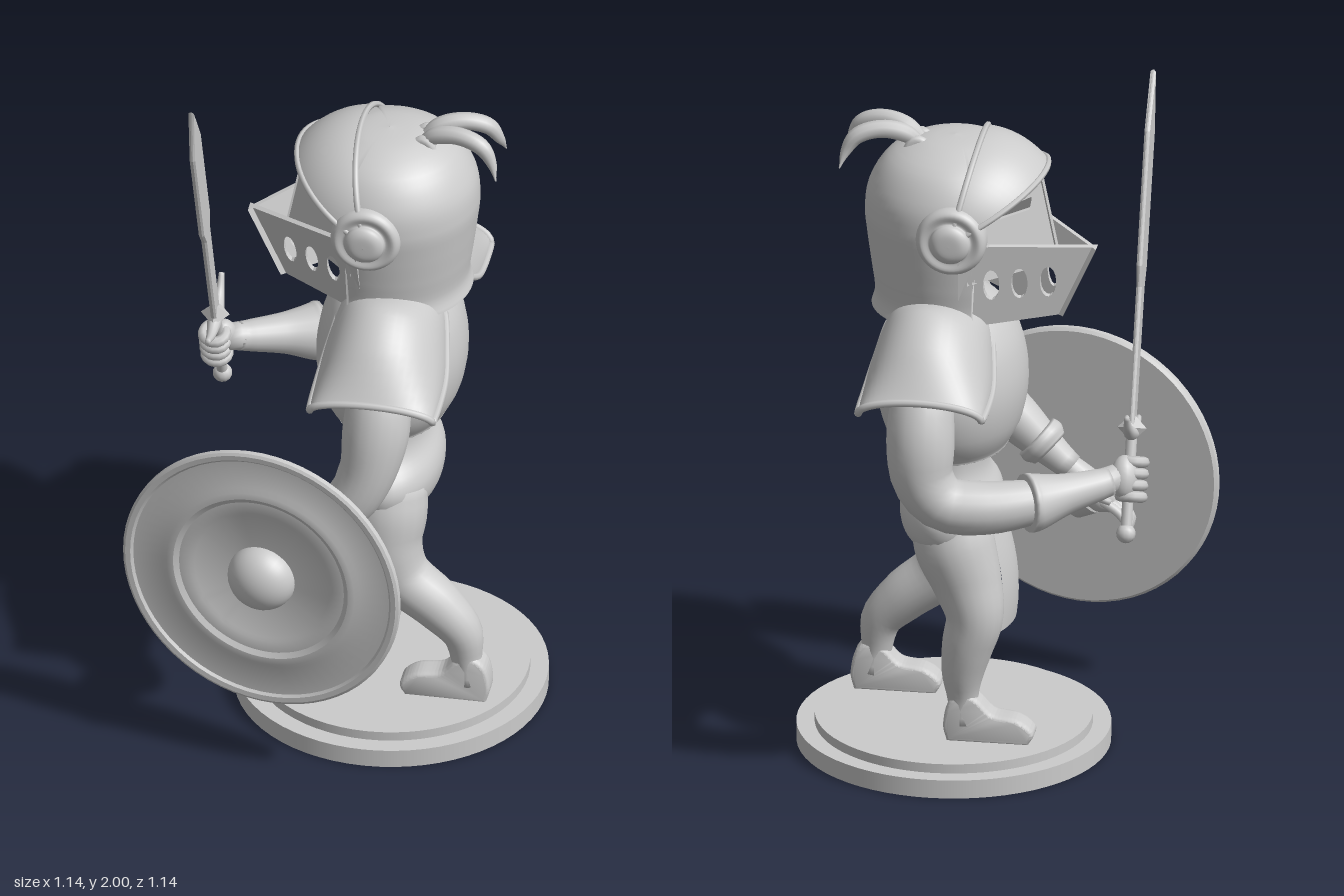
import * as THREE from 'three';
import { toCreasedNormals } from 'three/addons/utils/BufferGeometryUtils.js';
import { ParametricGeometry } from 'three/addons/geometries/ParametricGeometry.js';

const solid = new THREE.MeshStandardMaterial({ color: 0xcccccc });
const thin = new THREE.MeshStandardMaterial({ color: 0xcccccc, side: THREE.DoubleSide });
const V2 = (p) => new THREE.Vector2(p[0], p[1]);
const V3 = (p) => new THREE.Vector3(p[0], p[1], p[2]);
const MID = -0.05; // z of the body's middle plane

function add(parent, name, geo, pos = [0, 0, 0], mat = solid) {
  const mesh = new THREE.Mesh(geo, mat);
  mesh.name = name;
  mesh.position.set(...pos);
  parent.add(mesh);
  return mesh;
}

// Round tapered tube through [x, y, z, radius] points, with closed ends
function limb(pts, sides = 20, rings = 28) {
  const curve = new THREE.CatmullRomCurve3(pts.map(V3));
  const radii = new THREE.SplineCurve(pts.map((p, i) => new THREE.Vector2(i, p[3])));
  const { normals, binormals } = curve.computeFrenetFrames(rings);
  const pos = [], idx = [];
  const ring = (i, k) => {
    const u = i / rings, c = curve.getPointAt(u);
    const r = radii.getPoint(curve.getUtoTmapping(u)).y * k;
    for (let j = 0; j < sides; j++) {
      const a = (j / sides) * Math.PI * 2;
      const p = c.clone().addScaledVector(normals[i], Math.cos(a) * r).addScaledVector(binormals[i], Math.sin(a) * r);
      pos.push(p.x, p.y, p.z);
    }
  };
  ring(0, 0.001);
  for (let i = 0; i <= rings; i++) ring(i, 1);
  ring(rings, 0.001);
  for (let i = 0; i < rings + 2; i++) for (let j = 0; j < sides; j++) {
    const a = i * sides + j, b = i * sides + (j + 1) % sides;
    idx.push(a, b, a + sides, b, b + sides, a + sides);
  }
  const g = new THREE.BufferGeometry();
  g.setAttribute('position', new THREE.Float32BufferAttribute(pos, 3));
  g.setIndex(idx);
  g.computeVertexNormals();
  return g;
}

const lathe = (pts, seg = 48) => new THREE.LatheGeometry(pts.map(V2), seg);
const smoothLathe = (pts) => new THREE.LatheGeometry(new THREE.SplineCurve(pts.map(V2)).getPoints(28), 40);

// Flat panel drawn from the side, sheared into one half of a pointed face plate
function facePanel(outline, holes, tipX, k) {
  const shape = new THREE.Shape(outline.map(V2));
  shape.holes = holes;
  const g = new THREE.ExtrudeGeometry(shape, { depth: 0.02, bevelEnabled: false, curveSegments: 8 });
  const p = g.attributes.position;
  for (let i = 0; i < p.count; i++) p.setZ(i, p.getZ(i) - 0.02 + (p.getX(i) - tipX(p.getY(i))) * k);
  g.computeVertexNormals();
  return g;
}

function slot(x, y, rx, ry) {
  const path = new THREE.Path();
  path.absellipse(x, y, rx, ry, 0, Math.PI * 2, true);
  return path;
}

function buildHelmet() {
  const g = new THREE.Group();
  g.name = 'helmet';
  g.position.z = MID;
  const profile = new THREE.SplineCurve([[0.238, 1.355], [0.228, 1.4], [0.238, 1.48], [0.25, 1.57], [0.257, 1.65],
    [0.243, 1.73], [0.19, 1.81], [0.1, 1.856], [0.001, 1.868]].map(V2));
  // Shell is full height at the back and a cap above the face opening
  add(g, 'helmetShell', new ParametricGeometry((u, v, t) => {
    const a = (u * 2 - 1) * Math.PI, low = Math.abs(a) < 1.95 ? 0 : 0.65;
    const p = profile.getPoint(low + (1 - low) * v);
    t.set(0.11 + p.x * Math.cos(a), p.y, p.x * Math.sin(a));
  }, 72, 28), [0, 0, 0], thin);
  const browAt = (a, v) => {
    const R = 0.243 + 0.034 * v, th = 1.8 + 0.8 * v;
    return [0.085 + R * Math.cos(th) * Math.cos(a), 1.64 + R * Math.sin(th) * Math.cos(a), 0.268 * Math.sin(a)];
  };
  add(g, 'brow', new ParametricGeometry((u, v, t) => t.set(...browAt((u * 2 - 1) * 1.45, v)), 32, 10), [0, 0, 0], thin);
  for (const v of [0, 1]) {
    const pts = Array.from({ length: 13 }, (_, i) => [...browAt((i / 6 - 1) * 1.4, v), 0.009]);
    add(g, 'browRim', limb(pts, 6, 32));
  }
  const visor = facePanel([[-0.295, 1.545], [-0.2, 1.335], [0.07, 1.355], [0.06, 1.62], [-0.02, 1.62]],
    [[-0.165, 1.458], [-0.092, 1.472], [-0.02, 1.485]].map(([x, y]) => slot(x, y, 0.021, 0.052)),
    (y) => -0.295 - (y - 1.545) * 0.452, 0.72);
  const face = facePanel([[-0.19, 1.5], [0.04, 1.5], [0.04, 1.7], [-0.06, 1.77], [-0.135, 1.77]],
    [new THREE.Path([[-0.115, 1.705], [-0.035, 1.69], [-0.035, 1.665], [-0.11, 1.67]].map(V2))],
    (y) => -0.14 - (1.77 - y) * 0.2, 1);
  const ear = smoothLathe([[0.1, -0.04], [0.1, 0], [0.085, 0.018], [0.06, 0.014], [0.055, 0.03], [0.035, 0.042], [0.001, 0.044]]);
  ear.rotateX(Math.PI / 2);
  for (const s of [1, -1]) {
    const half = new THREE.Group();
    half.name = 'helmetSide';
    half.scale.z = s;
    g.add(half);
    add(half, 'visor', visor, [0, 0, 0], thin);
    add(half, 'facePlate', face, [0, 0, 0], thin);
    add(half, 'earDisc', ear, [0.085, 1.64, 0.25]);
    // Curled crest horns
    add(half, 'crest', limb([[0.2, 1.83, 0.015, 0.016], [0.25, 1.87, 0.025, 0.026], [0.32, 1.885, 0.04, 0.026],
      [0.385, 1.865, 0.055, 0.024], [0.415, 1.82, 0.065, 0.015], [0.43, 1.775, 0.085, 0.002]], 10));
    add(half, 'crestClip', limb([[0.18, 1.84, 0.03, 0.012], [0.22, 1.855, 0.035, 0.016], [0.25, 1.815, 0.045, 0.012]], 8, 8));
  }
  return g;
}

function buildPauldron(s) {
  const g = new THREE.Group();
  g.name = s > 0 ? 'leftShoulderGuard' : 'rightShoulderGuard';
  g.position.set(0.14, 0, MID);
  g.scale.z = s;
  const crest = new THREE.SplineCurve([[0.22, 1.435], [0.3, 1.435], [0.4, 1.365], [0.49, 1.24]].map(V2));
  const corner = new THREE.SplineCurve([[0.1, 1.32], [0.19, 1.25], [0.29, 1.2], [0.46, 1.185]].map(V2));
  const at = (a, v) => {
    const c = crest.getPoint(v), d = corner.getPoint(v), k = 1 - Math.cos(a);
    return [Math.sin(a) * (0.145 + 0.035 * Math.sin(v * 2)), c.y + (d.y - c.y) * k, c.x + (d.x - c.x) * k];
  };
  add(g, 'plate', new ParametricGeometry((u, v, t) => t.set(...at((u - 0.5) * Math.PI, v)), 24, 14), [0, 0, 0], thin);
  const arc = (f) => Array.from({ length: 13 }, (_, i) => [...f(i / 12), 0.011]);
  add(g, 'rim', limb(arc((t) => at((t - 0.5) * Math.PI, 1)), 8));
  for (const e of [-1, 1]) add(g, 'sideRim', limb(arc((t) => at(e * Math.PI / 2, t)), 8));
  return g;
}

function buildSword() {
  const g = new THREE.Group();
  g.name = 'sword';
  g.position.set(-0.42, 0.785, -0.315);
  g.rotation.x = 0.386;
  const half = [[0.024, 0.3], [0.027, 0.7], [0.046, 0.76], [0.047, 1.14]];
  const outline = [...half, [0, 1.31], ...half.slice().reverse().map(([w, y]) => [-w, y])];
  const blade = new THREE.ExtrudeGeometry(new THREE.Shape(outline.map(V2)),
    { depth: 0.004, bevelSize: 0.004, bevelThickness: 0.006, bevelSegments: 1 });
  blade.translate(0, 0, -0.002).rotateY(Math.PI / 2);
  add(g, 'blade', blade);
  add(g, 'grip', new THREE.CylinderGeometry(0.016, 0.016, 0.28, 12), [0, 0.15, 0]);
  add(g, 'pommel', new THREE.SphereGeometry(0.028, 12, 8));
  add(g, 'guard', limb([[0, 0.33, -0.12, 0.008], [0, 0.295, -0.07, 0.014], [0, 0.285, 0, 0.022],
    [0, 0.295, 0.07, 0.014], [0, 0.33, 0.12, 0.008]], 10));
  add(g, 'guardBlock', new THREE.OctahedronGeometry(0.042), [0, 0.3, 0]);
  // Fist closed around the grip
  add(g, 'palm', new THREE.SphereGeometry(0.05, 16, 12), [0.012, 0.16, -0.02]).scale.set(0.8, 1.25, 0.8);
  for (let i = 0; i < 4; i++) {
    add(g, 'finger', new THREE.TorusGeometry(0.032, 0.016, 8, 16).rotateX(Math.PI / 2), [-0.008, 0.105 + i * 0.033, 0.004]);
  }
  return g;
}

function buildShield() {
  const g = new THREE.Group();
  g.name = 'shield';
  g.position.set(-0.16, 0.65, 0.483);
  g.rotation.y = -0.187;
  const disc = lathe([[0, -0.014], [0.41, -0.014], [0.418, -0.006], [0.418, 0.01], [0.41, 0.015], [0.395, 0.014], [0.388, 0.007],
    [0.3, 0.007], [0.285, 0.014], [0.265, 0.014], [0.25, 0.005], [0.215, 0.005], [0.205, 0], [0, 0.004]], 64);
  add(g, 'disc', toCreasedNormals(disc.rotateX(Math.PI / 2), 0.5));
  add(g, 'boss', new THREE.SphereGeometry(0.1, 32, 16, 0, Math.PI * 2, 0, Math.PI / 2).rotateX(Math.PI / 2)).scale.z = 0.82;
  // Arm strap on the back
  add(g, 'strap', new THREE.CylinderGeometry(0.075, 0.065, 0.06, 24, 1, true).rotateZ(1), [-0.03, -0.05, -0.085], thin);
  return g;
}

export function createModel() {
  const model = new THREE.Group();
  model.name = 'knight';

  // Stepped round base
  add(model, 'base', new THREE.CylinderGeometry(0.446, 0.446, 0.055, 64), [0.12, 0.0275, -0.02]);
  add(model, 'baseStep', new THREE.CylinderGeometry(0.394, 0.394, 0.03, 64), [0.12, 0.068, -0.02]);

  // Trunk
  const chest = smoothLathe([[0.001, 0.94], [0.2, 0.938], [0.222, 0.945], [0.268, 1.01], [0.291, 1.1], [0.285, 1.19], [0.25, 1.28], [0.17, 1.36], [0.001, 1.42]]);
  add(model, 'breastplate', chest, [0.118, 0, MID]).scale.x = 0.73;
  const hips = smoothLathe([[0.001, 0.6], [0.14, 0.63], [0.225, 0.68], [0.25, 0.74], [0.236, 0.79], [0.19, 0.84], [0.175, 0.89], [0.185, 0.97]]);
  add(model, 'hips', hips, [0.12, 0, MID]).scale.x = 0.58;
  const cloth = new ParametricGeometry((u, v, t) => {
    const w = (u - 0.5) * 2;
    t.set(0.0 - 0.07 * Math.sin(v * 2) + 0.025 * w * w, 0.8 - 0.4 * v, -0.06 + w * (0.085 + 0.03 * v));
  }, 8, 10);
  add(model, 'loincloth', cloth, [0, 0, 0], thin);

  // Legs and boots
  add(model, 'leftLeg', limb([[0.13, 0.74, 0.075, 0.11], [0.13, 0.66, 0.095, 0.115], [0.135, 0.56, 0.115, 0.1], [0.175, 0.46, 0.12, 0.083],
    [0.28, 0.37, 0.125, 0.074], [0.35, 0.29, 0.13, 0.06], [0.365, 0.2, 0.132, 0.044], [0.375, 0.13, 0.132, 0.044]]));
  add(model, 'rightLeg', limb([[0.11, 0.74, -0.175, 0.11], [0.09, 0.66, -0.185, 0.115], [0.055, 0.56, -0.195, 0.1], [0.03, 0.46, -0.21, 0.083],
    [0.05, 0.37, -0.21, 0.074], [0.065, 0.28, -0.205, 0.06], [0.065, 0.2, -0.2, 0.044], [0.06, 0.13, -0.2, 0.044]]));
  const sole = new THREE.Shape();
  sole.moveTo(0.04, 0.09).lineTo(-0.18, 0.09);
  sole.splineThru([[-0.19, 0.115], [-0.15, 0.145], [-0.08, 0.158], [-0.035, 0.2], [0, 0.215], [0.035, 0.19], [0.048, 0.13], [0.04, 0.09]].map(V2));
  const boot = toCreasedNormals(new THREE.ExtrudeGeometry(sole,
    { depth: 0.045, bevelSize: 0.01, bevelThickness: 0.02, bevelSegments: 4, curveSegments: 24 }).translate(0, 0, -0.0225), 0.7);
  add(model, 'leftBoot', boot, [0.378, 0, 0.132]);
  add(model, 'rightBoot', boot, [0.06, 0, -0.2]);

  // Left arm, holding the shield
  add(model, 'leftArm', limb([[0.15, 1.28, 0.28, 0.07], [0.15, 1.2, 0.335, 0.09], [0.145, 1.1, 0.365, 0.096], [0.125, 0.98, 0.395, 0.08],
    [0.08, 0.89, 0.405, 0.074], [0, 0.81, 0.4, 0.068], [-0.09, 0.73, 0.39, 0.05], [-0.15, 0.68, 0.385, 0.04]]));
  add(model, 'leftCuff', limb([[-0.05, 0.765, 0.395, 0.07], [-0.07, 0.748, 0.393, 0.074], [-0.09, 0.73, 0.39, 0.06]], 20, 8));
  add(model, 'leftHand', limb([[-0.13, 0.695, 0.387, 0.036], [-0.2, 0.635, 0.38, 0.045], [-0.25, 0.59, 0.375, 0.042], [-0.275, 0.57, 0.375, 0.02]]));
  for (let i = 0; i < 4; i++) {
    const z = 0.335 + i * 0.023;
    add(model, 'leftFinger', limb([[-0.245, 0.6, z + 0.01, 0.015], [-0.3, 0.565, z, 0.014], [-0.325, 0.525, z - 0.008, 0.013], [-0.305, 0.49, z - 0.012, 0.007]], 8, 10));
  }
  add(model, 'leftThumb', limb([[-0.19, 0.64, 0.35, 0.016], [-0.23, 0.625, 0.325, 0.016], [-0.275, 0.605, 0.32, 0.009]], 8, 10));

  // Right arm, holding the sword
  add(model, 'rightArm', limb([[0.14, 1.28, -0.38, 0.07], [0.145, 1.2, -0.43, 0.09], [0.145, 1.09, -0.465, 0.098], [0.135, 0.98, -0.475, 0.088],
    [0.08, 0.91, -0.472, 0.08], [-0.02, 0.895, -0.455, 0.078], [-0.14, 0.9, -0.415, 0.068], [-0.3, 0.92, -0.33, 0.045], [-0.4, 0.94, -0.27, 0.04]]));
  add(model, 'rightGauntlet', limb([[-0.15, 0.9, -0.412, 0.084], [-0.17, 0.9, -0.4, 0.084], [-0.25, 0.912, -0.358, 0.06], [-0.34, 0.926, -0.308, 0.046], [-0.37, 0.932, -0.29, 0.042]]));

  model.add(buildHelmet(), buildPauldron(1), buildPauldron(-1), buildSword(), buildShield());
  return model;
}
